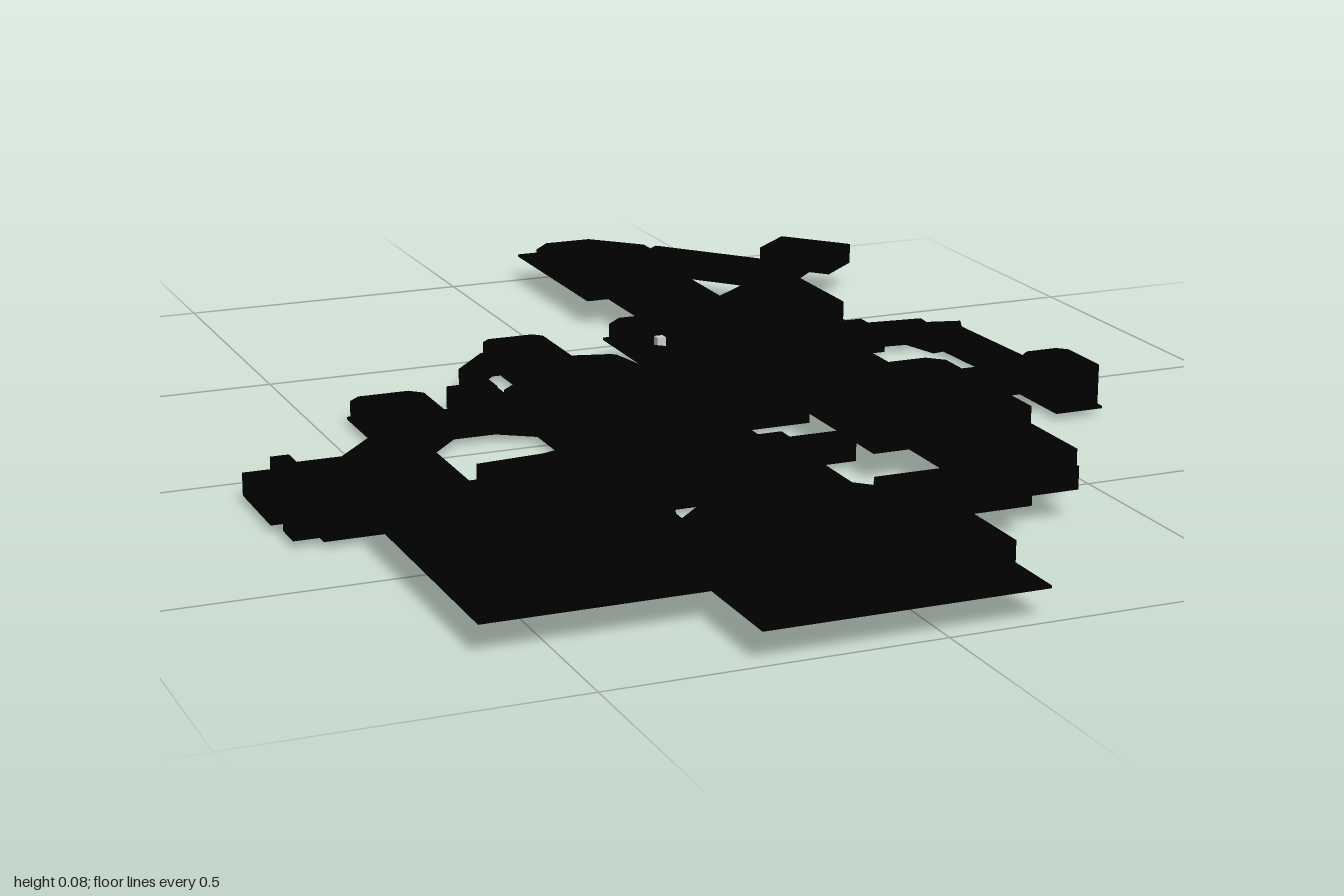
import * as THREE from 'three';

const LOW = [0.01, 0.046];
const HIGH = [0.046, 0.082];
const WALL = 0.01;

export function createModel() {
  const model = new THREE.Group();
  model.name = 'levelMap';
  const black = new THREE.MeshStandardMaterial({ color: 0x000000, flatShading: true, side: THREE.DoubleSide });
  const grey = new THREE.MeshStandardMaterial({ color: 0xcccccc });

  function add(name, geometry, material = black) {
    const mesh = new THREE.Mesh(geometry, material);
    mesh.name = name;
    model.add(mesh);
    return mesh;
  }

  // Upright prism over a floor outline of [x, z] corners, with an optional hole
  function prism(name, outline, [y0, y1], hole) {
    const toPoints = (corners) => corners.map(([x, z]) => new THREE.Vector2(x, -z));
    const shape = new THREE.Shape(toPoints(outline));
    if (hole) shape.holes.push(new THREE.Path(toPoints(hole)));
    const g = new THREE.ExtrudeGeometry(shape, { depth: y1 - y0, bevelEnabled: false });
    g.rotateX(-Math.PI / 2);
    g.translate(0, y0, 0);
    return add(name, g);
  }

  // Plain rectangular block
  function block(name, [x0, x1, z0, z1], [y0, y1]) {
    const g = new THREE.BoxGeometry(x1 - x0, y1 - y0, z1 - z0);
    g.translate((x0 + x1) / 2, (y0 + y1) / 2, (z0 + z1) / 2);
    return add(name, g);
  }

  // Open-topped body: a ring of walls around a sunken floor
  function openBody(name, outline, [y0, y1]) {
    const box = new THREE.Box2().setFromPoints(outline.map(([x, z]) => new THREE.Vector2(x, z)));
    const mid = box.getCenter(new THREE.Vector2());
    const size = box.getSize(new THREE.Vector2());
    const inner = outline.map(([x, z]) => [
      mid.x + (x - mid.x) * (1 - 2 * WALL / size.x),
      mid.y + (z - mid.y) * (1 - 2 * WALL / size.y),
    ]);
    prism(name + 'Walls', outline, [y0, y1], inner);
    prism(name + 'SunkenFloor', inner, [y0, y0 + (y1 - y0) * 0.5]);
  }

  const rect = ([x0, x1, z0, z1]) => [[x0, z0], [x1, z0], [x1, z1], [x0, z1]];

  // Room: rectangular floor plate with a chamfered open body standing on it
  function room(name, [x0, x1, z0, z1], [y0, y1], c) {
    block(name + 'Floor', [x0, x1, z0, z1], [y0, y0 + 0.004]);
    openBody(name, [
      [x0 + c, z0], [x1 - c, z0], [x1, z0 + c], [x1, z1 - c],
      [x1 - c, z1], [x0 + c, z1], [x0, z1 - c], [x0, z0 + c],
    ], [y0, y1]);
  }

  // Corridor: one level block per leg through the [x, z] points
  function corridor(name, points, width, [y0, y1] = LOW) {
    for (let i = 1; i < points.length; i++) {
      const [ax, az] = points[i - 1];
      const [bx, bz] = points[i];
      const length = Math.hypot(bx - ax, bz - az) + width * 0.4;
      const leg = add(name, new THREE.BoxGeometry(length, y1 - y0, width));
      leg.position.set((ax + bx) / 2, (y0 + y1) / 2, (az + bz) / 2);
      leg.rotation.y = -Math.atan2(bz - az, bx - ax);
    }
  }

  // Back wing
  block('backRoomFloor', [0.13, 0.33, -1, -0.64], [0.046, 0.05]);
  openBody('backRoom', [[0.165, -0.94], [0.25, -0.94], [0.33, -0.86], [0.33, -0.64], [0.13, -0.64], [0.13, -0.9]], HIGH);
  openBody('backHall', rect([0.17, 0.31, -0.645, -0.385]), HIGH);
  room('upperHall', [0.06, 0.35, -0.39, -0.18], HIGH, 0.03);
  block('upperHallAnnex', [0.23, 0.35, -0.19, -0.03], [0.012, 0.052]);
  block('upperHallStep', [0.08, 0.23, -0.19, -0.14], [0.03, 0.066]);
  block('lowerLanding', [0.08, 0.23, -0.2, 0.08], LOW);
  block('landingPad', [0.07, 0.145, -0.15, -0.03], [0.04, 0.052]);

  // Middle
  room('centralRoom', [-0.2, 0.08, -0.2, 0.4], LOW, 0.03);
  block('centralLink', [0.07, 0.21, 0.24, 0.29], LOW);
  block('centralLinkDoor', [0.08, 0.12, 0.21, 0.31], LOW);
  block('frontPassage', [-0.08, -0.04, 0.39, 0.52], [0.018, 0.052]);
  block('frontPassageEnd', [-0.08, -0.04, 0.51, 0.6], HIGH);
  block('frontPorch', [0, 0.06, 0.45, 0.58], HIGH);
  corridor('porchLink', [[-0.05, 0.54], [0.02, 0.49]], 0.04, HIGH);

  // East building and its stepped front
  room('eastBuilding', [0.2, 0.485, 0.035, 0.37], HIGH, 0.025);
  openBody('eastHall', rect([0.26, 0.44, 0.36, 0.565]), HIGH);
  block('eastStepUpper', [0.25, 0.4, 0.56, 0.64], HIGH);
  block('eastStepLower', [0.1, 0.3, 0.57, 0.68], HIGH);

  // Front room
  room('frontRoom', [-0.27, 0.155, 0.575, 0.995], HIGH, 0.1);

  // Terraced yard: floor plate with steps rising towards its inner back corner
  prism('yardFloor', [[-0.6, 0.36], [-0.41, 0.36], [-0.41, 0.29], [-0.3, 0.28], [-0.2, 0.24], [-0.2, 0.6], [-0.27, 0.83], [-0.6, 0.83]], [0.046, 0.05]);
  const rim = [[-0.6, 0.36], [-0.41, 0.36], [-0.41, 0.29], [-0.3, 0.28], [-0.2, 0.24], [-0.2, 0.58], [-0.27, 0.78], [-0.4, 0.78], [-0.52, 0.7], [-0.6, 0.57]];
  [[1, 0.057], [0.86, 0.063], [0.72, 0.069], [0.56, 0.075]].forEach(([s, top]) => {
    prism('yardTerrace', rim.map(([x, z]) => [-0.2 + (x + 0.2) * s, 0.3 + (z - 0.3) * s]), [0.046, top]);
  });
  block('yardWall', [-0.6, -0.41, 0.36, 0.375], HIGH);
  prism('yardBackWall', [[-0.41, 0.29], [-0.3, 0.28], [-0.2, 0.24], [-0.2, 0.28], [-0.3, 0.32], [-0.41, 0.375]], HIGH);

  // South-west room with small bays
  room('westRoom', [-0.66, -0.41, 0.07, 0.34], LOW, 0.04);
  block('westBay', [-0.71, -0.64, 0.09, 0.24], LOW);
  block('westCornerBay', [-0.7, -0.62, 0.27, 0.32], LOW);
  block('westChimney', [-0.65, -0.62, 0.03, 0.12], LOW);
  block('yardLink', [-0.45, -0.41, 0.3, 0.38], [0.018, 0.052]);

  // North-west rooms and passages
  room('northWestRoom', [-0.45, -0.325, -0.225, -0.06], LOW, 0.02);
  corridor('westDiagonal', [[-0.37, -0.07], [-0.51, 0.09]], 0.085);
  corridor('westPassage', [[-0.34, -0.08], [-0.25, -0.08], [-0.19, -0.04]], 0.05);
  block('westSidePassage', [-0.28, -0.205, -0.225, -0.09], LOW);
  room('northRoom', [-0.135, -0.025, -0.47, -0.295], LOW, 0.015);
  corridor('northPassage', [[-0.12, -0.38], [-0.155, -0.38], [-0.215, -0.31], [-0.215, -0.2]], 0.025);
  corridor('northEastPassage', [[-0.04, -0.31], [0.035, -0.29], [0.055, -0.19]], 0.025);

  // North-east room, its diagonal passages and the far cabin
  openBody('northEastRoom', [[0.335, -0.53], [0.46, -0.63], [0.53, -0.63], [0.53, -0.415], [0.345, -0.415]], [0.018, 0.06]);
  corridor('backDiagonal', [[0.33, -0.81], [0.49, -0.62]], 0.07, HIGH);
  corridor('cabinDiagonal', [[0.49, -0.62], [0.58, -0.71]], 0.055, HIGH);
  const cabin = block('farCabin', [-0.05, 0.05, -0.07, 0.07], HIGH);
  cabin.position.set(0.605, 0, -0.735);
  cabin.rotation.y = 0.72;

  // East corridors
  block('eastPassage', [0.405, 0.5, -0.42, -0.33], LOW);
  block('eastCrossing', [0.34, 0.53, -0.345, -0.25], LOW);
  block('eastCorridor', [0.4, 0.45, -0.26, 0.05], LOW);
  corridor('outerPassage', [[0.52, -0.3], [0.62, -0.29]], 0.035);
  prism('outerCorner', [[0.6, -0.31], [0.695, -0.285], [0.68, -0.25], [0.62, -0.24]], [0, 0.04]);
  corridor('outerCorridor', [[0.645, -0.26], [0.66, 0.08]], 0.045);
  room('outerCabin', [0.62, 0.705, 0.06, 0.19], [0.01, 0.08], 0.015);
  block('outerLink', [0.47, 0.63, 0.115, 0.16], HIGH);
  block('outerLinkBulge', [0.52, 0.59, 0.1, 0.175], HIGH);

  // Small pale post
  const post = add('post', new THREE.BoxGeometry(0.015, 0.034, 0.015), grey);
  post.position.set(0.11, 0.064, -0.255);

  return model;
}
